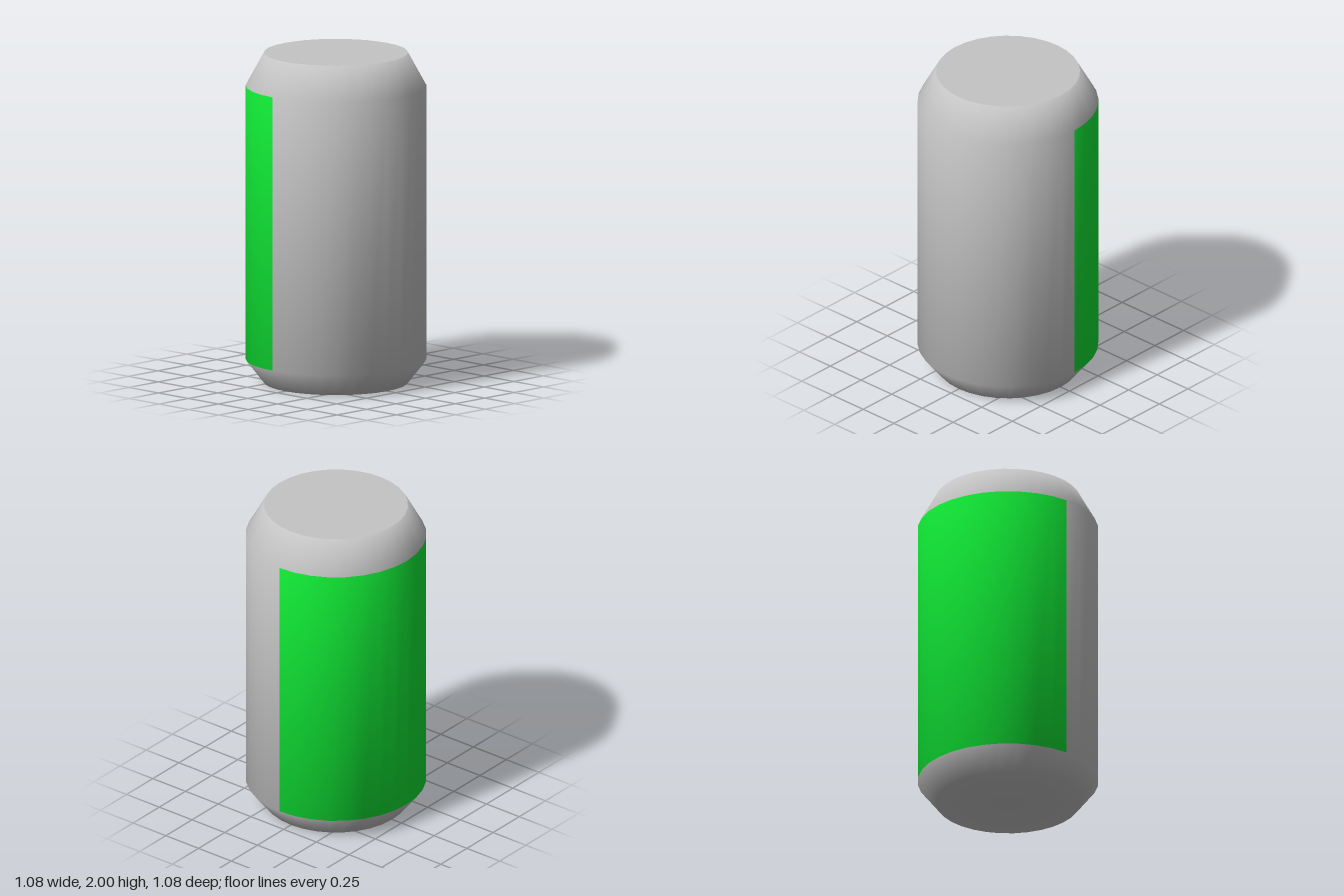
import * as THREE from 'three';

const SEGMENTS = 32;

// Profile rings, bottom to top: radius, height, and upward tilt of the smooth normal
const RINGS = [
  { r: 0.43, y: 0, tilt: -1.12 },
  { r: 0.54, y: 0.14, tilt: -0.33 },
  { r: 0.54, y: 1.8, tilt: 0.25 },
  { r: 0.43, y: 2, tilt: 1.12 },
];

// Open band between two rings, with normals blended smoothly across the rings
function band(low, high, start = 0, length = Math.PI * 2) {
  const segments = Math.round((SEGMENTS * length) / (Math.PI * 2));
  const geo = new THREE.CylinderGeometry(high.r, low.r, high.y - low.y, segments, 1, true, start, length);
  geo.translate(0, (high.y + low.y) / 2, 0);
  const pos = geo.attributes.position;
  const middle = (low.y + high.y) / 2;
  for (let i = 0; i < pos.count; i++) {
    const tilt = pos.getY(i) > middle ? high.tilt : low.tilt;
    const angle = Math.atan2(pos.getX(i), pos.getZ(i));
    geo.attributes.normal.setXYZ(i,
      Math.sin(angle) * Math.cos(tilt), Math.sin(tilt), Math.cos(angle) * Math.cos(tilt));
  }
  return geo;
}

export function createModel() {
  const metal = new THREE.MeshStandardMaterial({ color: 0xc4c4c4 });
  metal.name = 'grey metal';
  const green = new THREE.MeshStandardMaterial({ color: 0x10e835 });
  green.name = 'green label';

  const group = new THREE.Group();
  group.name = 'can';
  const add = (name, geometry, material) => {
    const mesh = new THREE.Mesh(geometry, material);
    mesh.name = name;
    group.add(mesh);
    return mesh;
  };

  // Wall: plain front half, green label on the back half
  const [base, lower, upper, rim] = RINGS;
  add('frontWall', band(lower, upper, -Math.PI / 2, Math.PI), metal);
  add('backLabel', band(lower, upper, Math.PI / 2, Math.PI), green);

  // Tapered shoulders
  add('topShoulder', band(upper, rim), metal);
  add('bottomShoulder', band(base, lower), metal);

  // Flat lid
  const lid = new THREE.CircleGeometry(rim.r, SEGMENTS).rotateX(-Math.PI / 2);
  add('lid', lid, metal).position.y = rim.y;

  // Flat base, its edge normals shared with the bottom shoulder
  const bottom = new THREE.CircleGeometry(base.r, SEGMENTS).rotateX(Math.PI / 2);
  const pos = bottom.attributes.position;
  const spread = Math.cos(base.tilt) / base.r;
  for (let i = 1; i < pos.count; i++) {
    bottom.attributes.normal.setXYZ(i, pos.getX(i) * spread, Math.sin(base.tilt), pos.getZ(i) * spread);
  }
  add('base', bottom, metal);

  return group;
}
